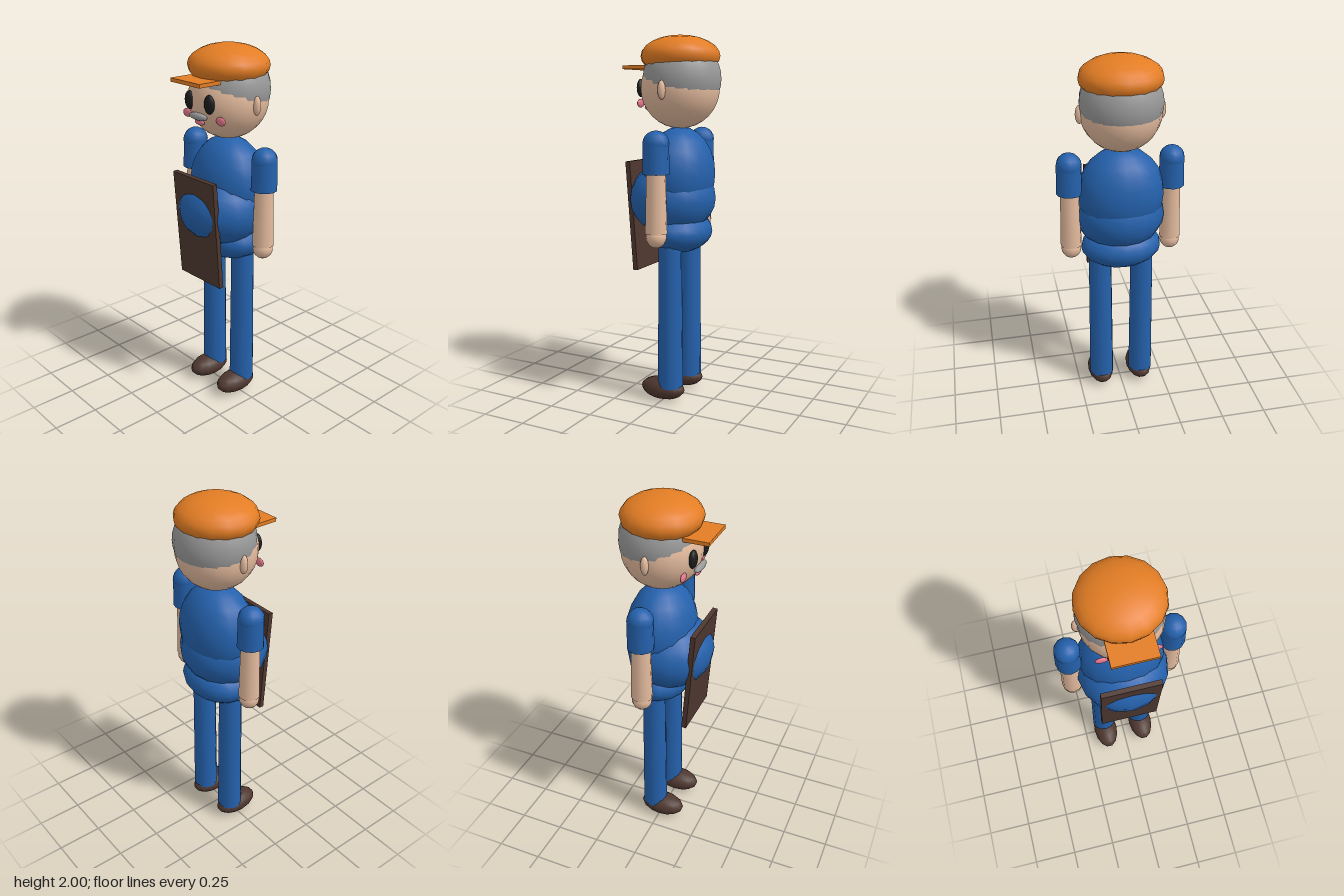
import * as THREE from 'three';

const mat = (name, color) => {
  const m = new THREE.MeshStandardMaterial({ color });
  m.name = name;
  return m;
};

export function createModel() {
  const blue = mat('blue cloth', 0x2461ac);
  const skin = mat('skin', 0xe3ba9d);
  const orange = mat('orange felt', 0xe37d24);
  const grey = mat('grey hair', 0x999999);
  const brown = mat('dark brown leather', 0x4e372f);
  const black = mat('black eye', 0x1c1c1c);
  const pink = mat('pink', 0xe2758a);

  const model = new THREE.Group();
  model.name = 'figure';
  const Z = -0.037; // body axis

  const add = (name, geometry, material, x, y, z) => {
    const mesh = new THREE.Mesh(geometry, material);
    mesh.name = name;
    mesh.position.set(x, y, z);
    model.add(mesh);
    return mesh;
  };
  // Ellipsoid given by its centre and three radii
  const ball = (name, material, [x, y, z], [rx, ry, rz], seg = 16, rings = 12) =>
    add(name, new THREE.SphereGeometry(1, seg, rings).scale(rx, ry, rz), material, x, y, z);
  // Upright tapered tube between two heights
  const tube = (name, material, x, y0, y1, r0, r1) =>
    add(name, new THREE.CylinderGeometry(r1, r0, y1 - y0, 12), material, x, (y0 + y1) / 2, Z);

  // Torso
  ball('chest', blue, [0, 1.26, Z], [0.235, 0.257, 0.184]);
  ball('belly', blue, [0, 1.125, 0.01], [0.248, 0.205, 0.237]);
  ball('hips', blue, [0, 0.943, Z], [0.222, 0.118, 0.17]);

  // Apron, leaning forward at the top
  const apron = add('apron', new THREE.BoxGeometry(0.325, 0.6, 0.027), brown, 0, 1.03, 0.179);
  apron.rotation.x = 0.0735;

  // Head, hair and cap
  ball('head', skin, [0, 1.72, Z], [0.214, 0.214, 0.214], 20, 16);
  ball('hair', grey, [0, 1.768, -0.048], [0.217, 0.212, 0.211], 20, 16);
  ball('capCrown', orange, [0, 1.89, Z], [0.219, 0.11, 0.213]);
  add('capBrim', new THREE.BoxGeometry(0.228, 0.02, 0.15), orange, 0, 1.832, 0.18);

  // Face
  ball('moustache', grey, [0, 1.65, 0.171], [0.07, 0.02, 0.02], 12, 8);
  ball('mouth', pink, [0, 1.618, 0.16], [0.036, 0.015, 0.012], 12, 8);

  for (const [side, s] of [['left', 1], ['right', -1]]) {
    ball(side + 'Eye', black, [s * 0.077, 1.722, 0.161], [0.034, 0.049, 0.021], 12, 10);
    ball(side + 'Cheek', pink, [s * 0.132, 1.641, 0.133], [0.035, 0.023, 0.011], 12, 8);
    ball(side + 'Ear', skin, [s * 0.214, 1.71, Z], [0.023, 0.05, 0.021], 12, 8);

    // Arms
    ball(side + 'Shoulder', blue, [s * 0.277, 1.437, Z], [0.068, 0.068, 0.07], 12, 10);
    tube(side + 'Sleeve', blue, s * 0.277, 1.28, 1.44, 0.071, 0.067);
    tube(side + 'Forearm', skin, s * 0.277, 0.97, 1.3, 0.058, 0.05);
    ball(side + 'Hand', skin, [s * 0.277, 0.95, Z], [0.055, 0.057, 0.055], 12, 10);

    // Legs
    tube(side + 'Leg', blue, s * 0.118, 0.08, 0.9, 0.07, 0.063);
    ball(side + 'Shoe', brown, [s * 0.118, 0.062, 0.01], [0.074, 0.062, 0.13], 14, 10);
  }
  return model;
}
